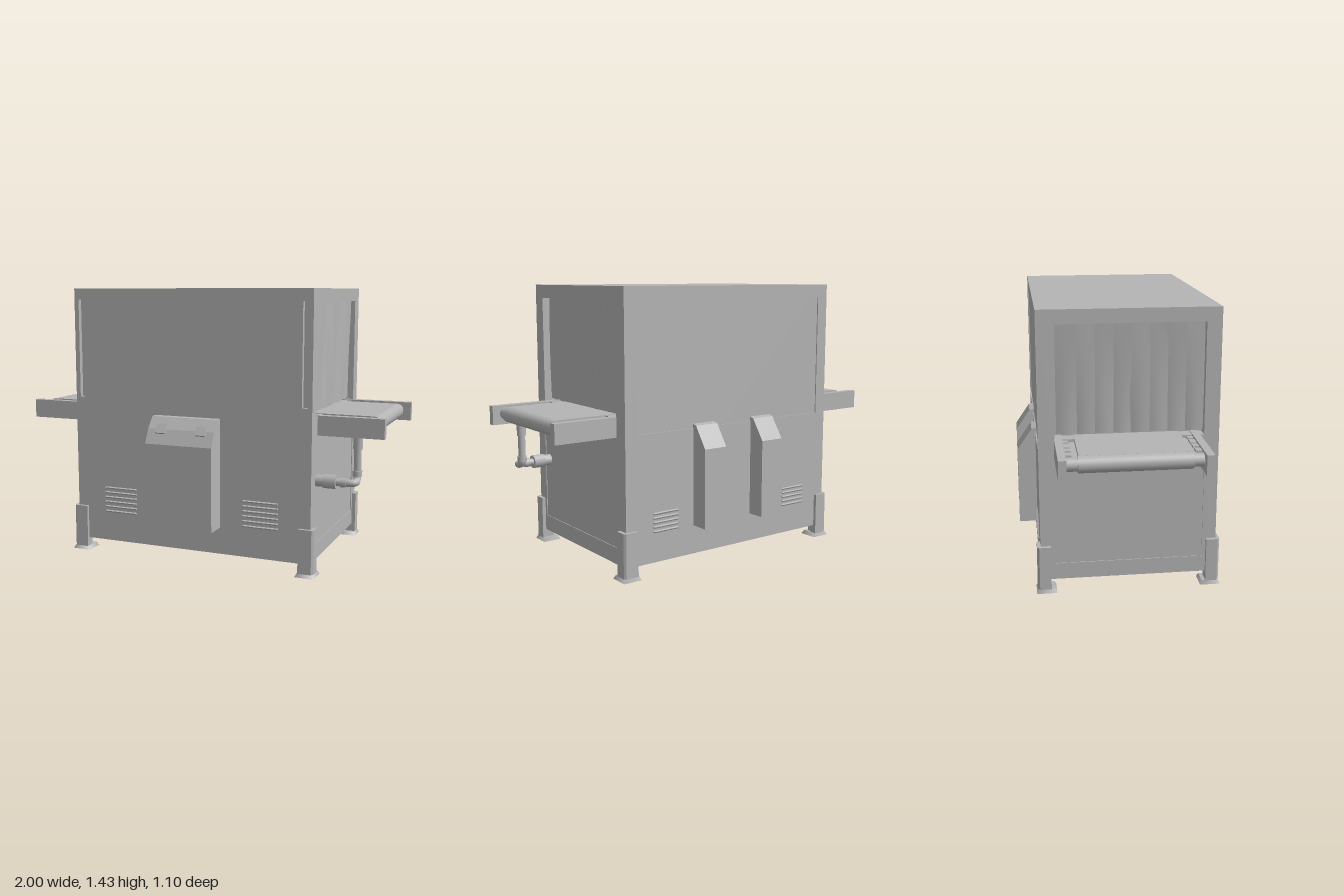
import * as THREE from 'three';

const steel = new THREE.MeshStandardMaterial({ color: 0xb4b4b4, side: THREE.DoubleSide });
steel.name = 'brushed steel';

const rectPoints = (x0, x1, y0, y1) => [[x0, y0], [x1, y0], [x1, y1], [x0, y1]].map(p => new THREE.Vector2(...p));

export function createModel() {
  const model = new THREE.Group();
  model.name = 'conveyorDishwasher';

  const add = (name, geometry, x = 0, y = 0, z = 0) => {
    const mesh = new THREE.Mesh(geometry, steel);
    mesh.name = name;
    mesh.position.set(x, y, z);
    model.add(mesh);
    return mesh;
  };
  // box given by its limits
  const box = (name, x0, x1, y0, y1, z0, z1) =>
    add(name, new THREE.BoxGeometry(x1 - x0, y1 - y0, z1 - z0), (x0 + x1) / 2, (y0 + y1) / 2, (z0 + z1) / 2);
  // flat plate with rectangular holes, in the x-y plane
  const plate = (outer, holes, depth) => {
    const shape = new THREE.Shape(rectPoints(...outer));
    holes.forEach(h => shape.holes.push(new THREE.Path(rectPoints(...h))));
    return new THREE.ExtrudeGeometry(shape, { depth, bevelEnabled: false });
  };
  // profile of [z, y] points extruded along x
  const sideProfile = (points, depth) =>
    new THREE.ExtrudeGeometry(new THREE.Shape(points.map(([z, y]) => new THREE.Vector2(-z, y))),
      { depth, bevelEnabled: false }).rotateY(Math.PI / 2);
  const rod = (name, from, to, r, segments = 16) => {
    const a = new THREE.Vector3(...from), b = new THREE.Vector3(...to);
    const mesh = add(name, new THREE.CylinderGeometry(r, r, a.distanceTo(b), segments));
    mesh.position.copy(a).add(b).multiplyScalar(0.5);
    mesh.quaternion.setFromUnitVectors(new THREE.Vector3(0, 1, 0), b.sub(a).normalize());
  };

  // cabinet: core, roof and skins
  box('cabinetCore', -0.6, 0.6, 0.13, 1.41, -0.449, 0.41);
  box('roof', -0.665, 0.665, 1.4, 1.43, -0.455, 0.435);
  add('frontSkin', plate([-0.665, 0.665, 0.065, 1.4],
    [[-0.64, -0.612, 0.85, 1.37], [0.612, 0.64, 0.85, 1.37]], 0.025), 0, 0, 0.41);
  add('backSkin', plate([-0.665, 0.665, 0.065, 1.4], [[-0.6, 0.6, 0.72, 1.36]], 0.015), 0, 0, -0.455);
  box('frontBottomRail', -0.62, 0.62, 0.065, 0.14, 0.37, 0.42);
  box('backBottomRail', -0.62, 0.62, 0.065, 0.14, -0.445, -0.39);
  box('bottomHatch', -0.3, 0.3, 0.124, 0.132, -0.25, 0.22);

  for (const side of [-1, 1]) {
    const end = side > 0 ? 'Left' : 'Right';
    const span = (name, a, b, ...rest) => box(name + end, Math.min(side * a, side * b), Math.max(side * a, side * b), ...rest);

    // end wall with tunnel opening and lower recessed panel
    add('endFrame' + end, plate([-0.41, 0.44, 0.065, 1.4],
      [[-0.36, 0.375, 0.8, 1.36], [-0.365, 0.38, 0.15, 0.64]], 0.065).rotateY(Math.PI / 2), side > 0 ? 0.6 : -0.665);
    span('endPanel', 0.59, 0.661, 0.14, 0.65, -0.39, 0.375);

    // curtain of overlapping strips, gently folded
    const strips = 8, width = 0.71 / strips;
    for (let i = 0; i < strips; i++) {
      const g = new THREE.PlaneGeometry(width + 0.012, 0.545, 6, 10);
      const p = g.attributes.position;
      for (let k = 0; k < p.count; k++) {
        const u = p.getX(k) / width, drop = (0.2725 - p.getY(k)) / 0.545;
        p.setZ(k, 0.006 * Math.cos(u * Math.PI) * drop + 0.005 * Math.sin(i * 2.1 + drop * 3) + u * 0.012);
      }
      g.computeVertexNormals();
      const strip = add('curtainStrip' + end, g, side * (0.63 + (i % 2) * 0.004), 1.088, 0.352 - width * (i + 0.5));
      strip.rotation.y = side * Math.PI / 2;
    }

    // conveyor wing: rails, belt, end roller and side ledges
    span('railFront', 0.6, 1, 0.705, 0.805, 0.3, 0.338);
    span('railBack', 0.6, 1, 0.705, 0.805, -0.378, -0.34);
    span('beltTop', 0.6, 0.93, 0.775, 0.803, -0.28, 0.245);
    span('ledgeFront', 0.6, 0.9, 0.75, 0.785, 0.24, 0.288);
    span('ledgeBack', 0.6, 0.9, 0.75, 0.785, -0.328, -0.275);
    rod('endRoller' + end, [side * 0.928, 0.762, -0.285], [side * 0.928, 0.762, 0.25], 0.041, 24);
    rod('rollerAxle' + end, [side * 0.928, 0.762, -0.345], [side * 0.928, 0.762, 0.305], 0.032);
    for (const [x0, x1] of [[0.6, 0.7], [0.715, 0.775], [0.79, 0.83], [0.85, 0.895]]) {
      span('spacerFront', x0, x1, 0.745, 0.795, 0.27, 0.305);
      span('spacerBack', x0, x1, 0.745, 0.795, -0.345, -0.31);
    }

    // corner legs: angle brackets on flat feet
    for (const [name, z, dir] of [['frontLeg', 0.452, 1], ['backLeg', -0.472, -1]]) {
      const at = (dx, dz) => new THREE.Vector2(side * (0.685 - dx), -(z - dir * dz));
      const angle = new THREE.Shape([at(0.01, 0), at(0.08, 0), at(0.08, 0.035), at(0.035, 0.035),
        at(0.035, 0.068), at(0, 0.068), at(0, 0.01)]);
      const g = new THREE.ExtrudeGeometry(angle, { depth: 0.228, bevelEnabled: false }).rotateX(-Math.PI / 2);
      add(name + end, g, 0, 0.018, 0);
      const foot = new THREE.CylinderGeometry(0.058, 0.072, 0.02, 4).rotateY(Math.PI / 4);
      add(name + 'Foot' + end, foot, side * 0.642, 0.01, z - dir * 0.045);
      box(name + 'Stem' + end, side * 0.645 - 0.028, side * 0.645 + 0.028, 0.015, 0.13,
        z - dir * 0.04 - 0.028, z - dir * 0.04 + 0.028);
    }

    // louvred vents, front and back
    for (let i = 0; i < 6; i++) {
      const y = 0.225 + i * 0.026;
      const front = box('frontVent' + end, side * 0.4 - 0.095, side * 0.4 + 0.095, y, y + 0.008, 0.428, 0.442);
      front.rotation.x = 0.5;
    }
    for (let i = 0; i < 5; i++) {
      const y = 0.22 + i * 0.023;
      const back = box('backVent' + end, side * 0.43 - 0.075, side * 0.43 + 0.075, y, y + 0.008, -0.462, -0.448);
      back.rotation.x = -0.5;
    }

    // sloped duct on the back
    add('backDuct' + end, sideProfile([[-0.44, 0.745], [-0.475, 0.735], [-0.55, 0.625], [-0.55, 0.215], [-0.44, 0.215]], 0.135),
      side * 0.189 - 0.0675);
  }

  // control box with sloped head and two switches
  add('controlBox', sideProfile([[0.42, 0.775], [0.465, 0.772], [0.512, 0.715], [0.55, 0.64], [0.55, 0.205], [0.42, 0.205]], 0.37), -0.19);
  for (const x of [-0.115, 0.11]) {
    const button = add('controlSwitch', new THREE.BoxGeometry(0.055, 0.05, 0.02), x, 0.714, 0.513);
    button.rotation.x = -0.55;
  }

  // drain pipe with elbow and fittings on the left end
  const bend = new THREE.CurvePath();
  const v = (x, y, z) => new THREE.Vector3(x, y, z);
  bend.add(new THREE.LineCurve3(v(0.65, 0.475, 0.33), v(0.82, 0.475, 0.33)));
  bend.add(new THREE.QuadraticBezierCurve3(v(0.82, 0.475, 0.33), v(0.862, 0.475, 0.33), v(0.858, 0.478, 0.3)));
  bend.add(new THREE.QuadraticBezierCurve3(v(0.858, 0.478, 0.3), v(0.855, 0.48, 0.27), v(0.855, 0.52, 0.27)));
  bend.add(new THREE.LineCurve3(v(0.855, 0.52, 0.27), v(0.855, 0.76, 0.27)));
  add('drainPipe', new THREE.TubeGeometry(bend, 60, 0.019, 14));
  rod('pipeFlange', [0.66, 0.475, 0.33], [0.7, 0.475, 0.33], 0.03);
  rod('pipeNut', [0.7, 0.475, 0.33], [0.765, 0.475, 0.33], 0.036, 8);
  rod('elbowCollar', [0.785, 0.475, 0.33], [0.815, 0.475, 0.33], 0.024);
  rod('riserCollar', [0.855, 0.5, 0.27], [0.855, 0.53, 0.27], 0.024);
  rod('pipeTopCollar', [0.855, 0.64, 0.27], [0.855, 0.71, 0.27], 0.024);

  return model;
}
